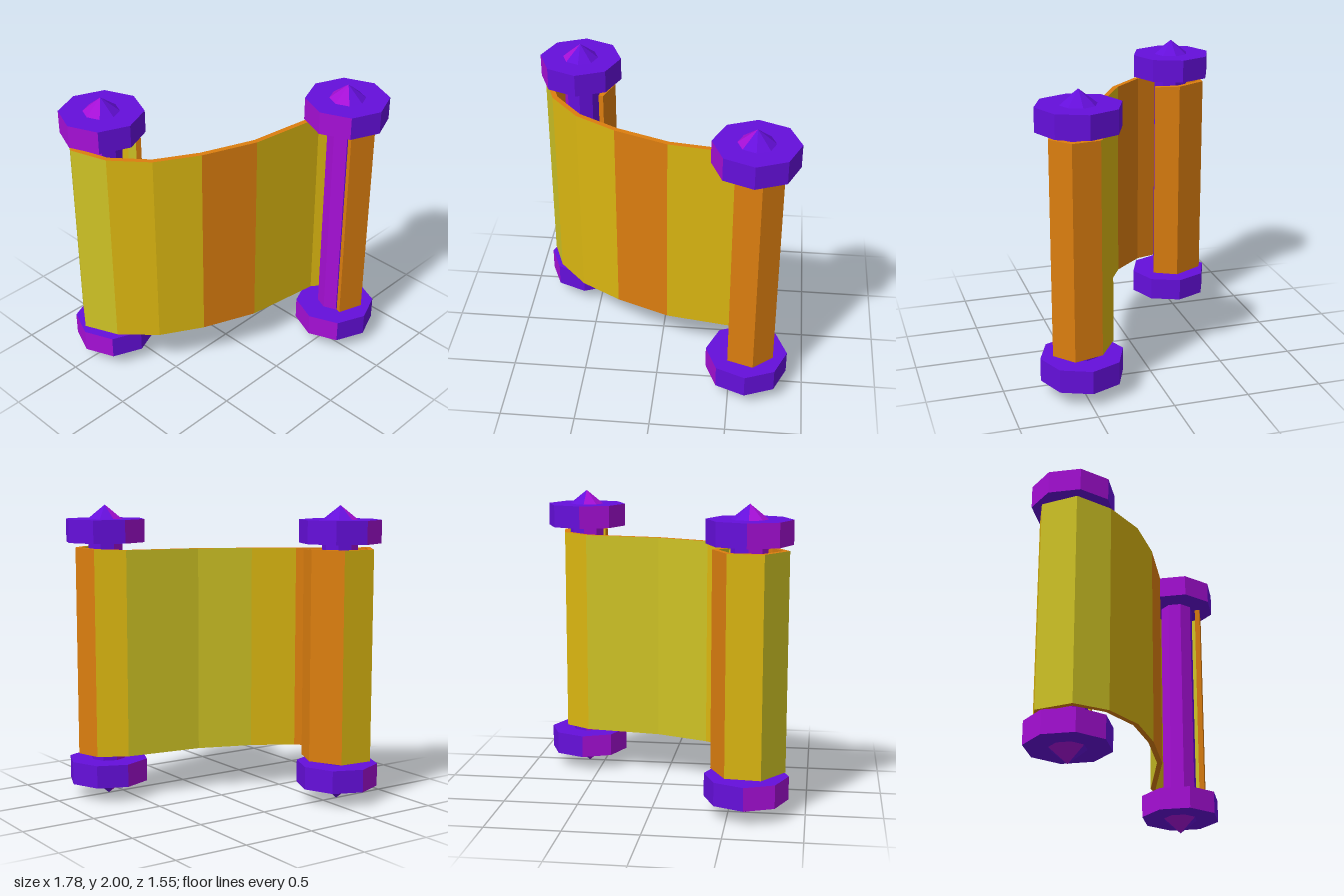
import * as THREE from 'three';

const material = (name, color) => Object.assign(new THREE.MeshStandardMaterial({ color }), { name });

// Faceted lathe sector: SIDES-sided, covering `count` sides from side `first`
const SIDES = 8;
function sector(name, points, first, count, mat) {
  const step = (Math.PI * 2) / SIDES;
  const profile = points.map(([r, y]) => new THREE.Vector2(r, y));
  const geo = new THREE.LatheGeometry(profile, count, first * step, count * step).toNonIndexed();
  geo.computeVertexNormals();
  const mesh = new THREE.Mesh(geo, mat);
  mesh.name = name;
  return mesh;
}

// Roller: shaft, two octagonal knobs and pointed tips
function createRoller(name, x, z, purple, magenta) {
  const group = new THREE.Group();
  group.name = name;
  const R = 0.275, r = 0.119;
  const walls = {
    bottomTip: [[0, 0], [r, 0.1]],
    bottomKnobRim: [[R, 0.1], [R, 0.255]],
    shaft: [[r, 0.255], [r, 1.75]],
    topKnobRim: [[R, 1.75], [R, 1.905]],
    topTip: [[r, 1.905], [0, 2]],
  };
  for (const [part, pts] of Object.entries(walls)) {
    group.add(sector(part + 'Magenta', pts, 4, 3, magenta));
    group.add(sector(part + 'Purple', pts, 7, 5, purple));
  }
  // Flat rings on the knobs
  for (const y of [0.1, 1.75]) group.add(sector('knobUnderside', [[r, y], [R, y]], 0, SIDES, purple));
  for (const y of [0.255, 1.905]) group.add(sector('knobTop', [[R, y], [r, y]], 0, SIDES, purple));
  group.position.set(x, 0, z);
  return group;
}

// Sheet: thick ribbon following an S-shaped path that curls round both rollers
function createSheet(materials) {
  const path = [
    [-0.46, -0.335], [-0.4, -0.49], [-0.5, -0.685], [-0.713, -0.703], [-0.848, -0.515],
    [-0.765, -0.29], [-0.575, -0.077], [-0.305, 0.08], [0.05, 0.22],
    [0.57, 0.295], [0.737, 0.41], [0.773, 0.583], [0.657, 0.683], [0.495, 0.63],
  ].map(([x, z]) => new THREE.Vector2(x, z));
  // Facet colours along each side: o = orange, y = yellow, l = olive
  const frontColours = 'ooyllyyoyylly';
  const backColours = 'lyooooyllyooo'.replace(' ', '');
  const half = 0.0175;

  const normals = path.slice(1).map((p, i) => {
    const d = p.clone().sub(path[i]).normalize();
    return new THREE.Vector2(-d.y, d.x);
  });
  // Mitred cross-section at each path point
  const rings = path.map((p, i) => {
    const a = normals[Math.max(i - 1, 0)], b = normals[Math.min(i, normals.length - 1)];
    const m = a.clone().add(b).normalize();
    m.multiplyScalar(half / m.dot(b));
    const h = 0.697 + 0.016 * Math.min(1, (p.y / 0.5) ** 2);
    const corner = (s, y) => [p.x + s * m.x, y, p.y + s * m.y];
    return {
      fb: corner(1, 1 - h), ft: corner(1, 1 + h),
      bb: corner(-1, 1 - h), bt: corner(-1, 1 + h),
    };
  });

  const faces = { o: [], y: [], l: [] };
  const quad = (key, a, b, c, d) => faces[key].push(...a, ...b, ...c, ...a, ...c, ...d);
  for (let i = 0; i < rings.length - 1; i++) {
    const p = rings[i], q = rings[i + 1];
    quad(frontColours[i], p.fb, q.fb, q.ft, p.ft);
    quad(backColours[i], q.bb, p.bb, p.bt, q.bt);
    quad('o', p.ft, q.ft, q.bt, p.bt);
    quad('o', p.bb, q.bb, q.fb, p.fb);
  }
  // End edges
  const s = rings[0], e = rings[rings.length - 1];
  quad('o', s.bb, s.fb, s.ft, s.bt);
  quad('o', e.fb, e.bb, e.bt, e.ft);

  const group = new THREE.Group();
  group.name = 'sheet';
  for (const key of Object.keys(faces)) {
    const geo = new THREE.BufferGeometry();
    geo.setAttribute('position', new THREE.Float32BufferAttribute(faces[key], 3));
    geo.computeVertexNormals();
    const mesh = new THREE.Mesh(geo, materials[key]);
    mesh.name = 'sheet ' + materials[key].name;
    group.add(mesh);
  }
  return group;
}

export function createModel() {
  const purple = material('purple', 0x650fdb);
  const magenta = material('magenta', 0xa60fd6);
  const sheetColours = {
    o: material('orange', 0xdc7e0f),
    y: material('yellow', 0xdab611),
    l: material('olive yellow', 0xcfc325),
  };
  const model = new THREE.Group();
  model.name = 'scroll';
  model.add(createRoller('rightRoller', -0.615, -0.5, purple, magenta));
  model.add(createRoller('leftRoller', 0.612, 0.5, purple, magenta));
  model.add(createSheet(sheetColours));
  return model;
}
